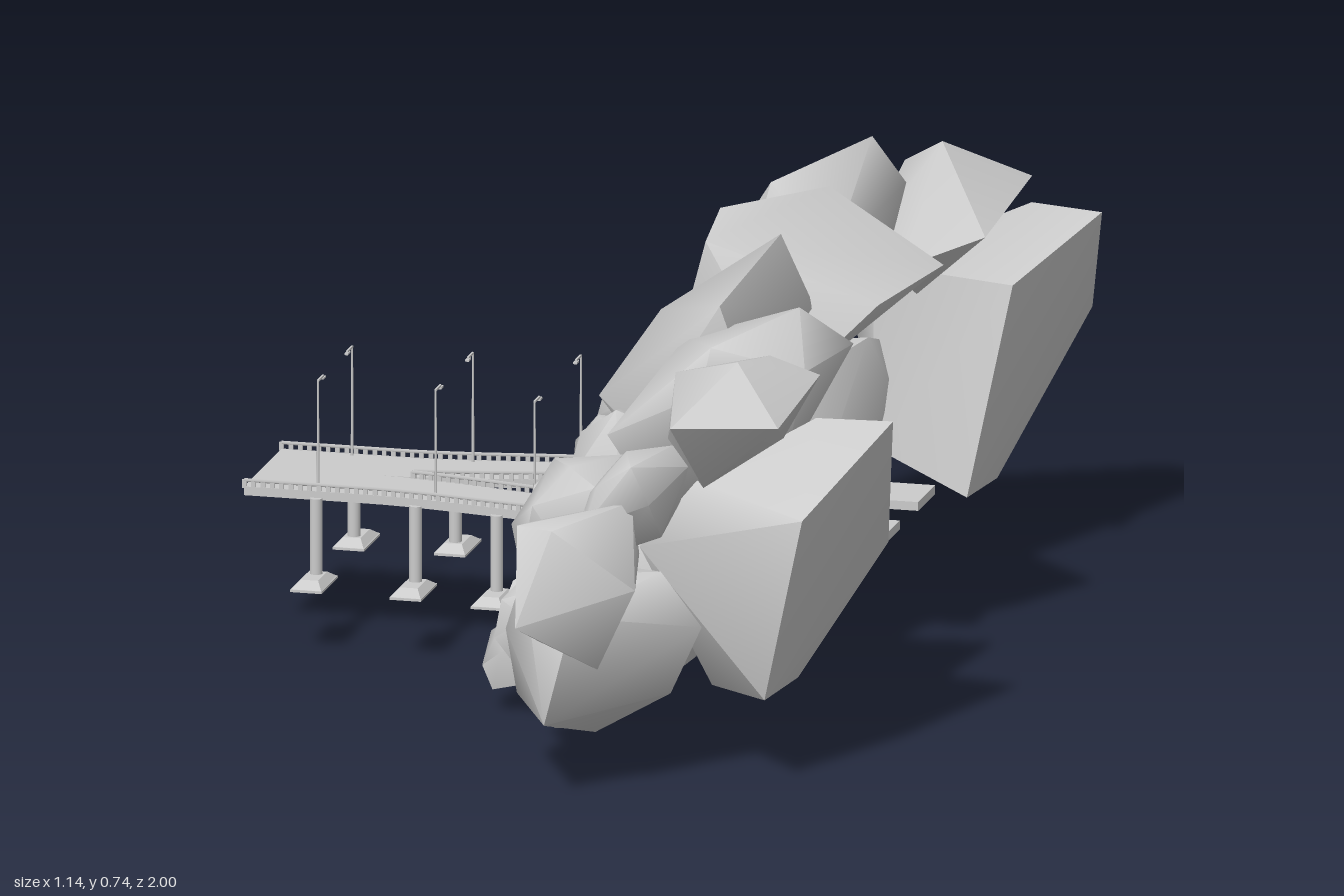
import * as THREE from 'three';
import { toCreasedNormals } from 'three/addons/utils/BufferGeometryUtils.js';
import { ConvexGeometry } from 'three/addons/geometries/ConvexGeometry.js';

const grey = new THREE.MeshStandardMaterial({ color: 0xcccccc });
const V = (x, y, z) => new THREE.Vector3(x, y, z);

function seeded(seed) {
  let s = seed * 7919 + 17;
  return () => (s = (s * 16807) % 2147483647) / 2147483647;
}

function add(parent, name, geometry, x = 0, y = 0, z = 0) {
  const mesh = new THREE.Mesh(geometry, grey);
  mesh.name = name;
  mesh.position.set(x, y, z);
  parent.add(mesh);
  return mesh;
}

const hull = (points) => toCreasedNormals(new ConvexGeometry(points), 1.05);

// Blocky, leaning boulder that exactly fills a box
function boulder(min, max, seed, lean) {
  const rnd = seeded(seed), pts = [], n = 17;
  for (let i = 0; i < 5; i++) rnd();
  const turn = rnd() * 6.28;
  const square = (v) => Math.sign(v) * Math.abs(v) ** 0.82;
  for (let i = 0; i < n; i++) {
    const y = 1 - (2 * i + 1) / n, r = Math.sqrt(1 - y * y);
    const a = i * 2.4 + turn + (rnd() - 0.5) * 0.5, k = 0.92 + rnd() * 0.25;
    const h = square(y) * k;
    pts.push(V(square(Math.cos(a) * r) * k + lean * h, h, square(Math.sin(a) * r) * k));
  }
  const box = new THREE.Box3().setFromPoints(pts), size = box.getSize(V(0, 0, 0));
  const target = max.clone().sub(min);
  pts.forEach((p) => p.sub(box.min).divide(size).multiply(target).add(min));
  return hull(pts);
}

// Two carriageways mirrored about z = MID, spreading apart towards the tunnel
const MID = -0.03, START = -0.57, END = 0.46;
const laneZ = (side, x) => MID + side * (0.058 + 0.05 * THREE.MathUtils.smoothstep(x, -0.38, 0));
const halfWidth = (x) => 0.058 - 0.006 * THREE.MathUtils.smoothstep(x, -0.38, -0.02);
const edgeZ = (side, edge, x) => laneZ(side, x) + side * edge * halfWidth(x);

function carriageway(side) {
  const near = [], far = [];
  for (let i = 0; i <= 28; i++) {
    const x = START + ((END - START) * i) / 28;
    near.push(new THREE.Vector2(x, -edgeZ(side, 1, x)));
    far.unshift(new THREE.Vector2(x, -edgeZ(side, -1, x)));
  }
  const geo = new THREE.ExtrudeGeometry(new THREE.Shape([...near, ...far]), { depth: 0.014, bevelEnabled: false });
  return geo.rotateX(-Math.PI / 2);
}

function railing(parent, side, edge, from, to) {
  const g = new THREE.Group();
  g.name = 'railing';
  parent.add(g);
  const pts = [], n = Math.round((to - from) / 0.015);
  for (let i = 0; i <= n; i++) {
    const x = from + ((to - from) * i) / n, z = edgeZ(side, edge * 0.97, x);
    pts.push(V(x, 0.253, z));
    add(g, 'railPost', new THREE.BoxGeometry(0.007, 0.014, 0.003), x, 0.247, z);
  }
  add(g, 'handRail', new THREE.TubeGeometry(new THREE.CatmullRomCurve3(pts), n * 2, 0.003, 4));
}

function pier(parent, x, side) {
  const g = new THREE.Group();
  g.name = 'pier';
  g.position.set(x, 0, edgeZ(side, 1, x));
  parent.add(g);
  add(g, 'column', new THREE.CylinderGeometry(0.01, 0.01, 0.125, 16), 0, 0.17);
  const foot = new THREE.CylinderGeometry(0.4, 0.707, 0.012, 4).rotateY(Math.PI / 4).scale(0.05, 1, 0.1);
  add(g, 'footing', toCreasedNormals(foot, 0.4), 0, 0.106, side * 0.014);
  add(g, 'footingBase', new THREE.BoxGeometry(0.05, 0.004, 0.1), 0, 0.099, side * 0.014);
}

function lamp(parent, x, side) {
  const g = new THREE.Group();
  g.name = 'streetLamp';
  g.position.set(x, 0.24, edgeZ(side, 0.8, x));
  parent.add(g);
  add(g, 'lampPost', new THREE.CylinderGeometry(0.0015, 0.0025, 0.178, 8), 0, 0.089);
  add(g, 'lampArm', new THREE.BoxGeometry(0.003, 0.003, 0.032), 0, 0.177, -side * 0.015);
  add(g, 'lampHead', new THREE.BoxGeometry(0.006, 0.003, 0.014), 0, 0.174, -side * 0.03);
}

// Tunnel front with two round-cornered openings
function portal() {
  const frame = new THREE.Shape([[-0.185, 0.236], [0.13, 0.236], [0.13, 0.36], [-0.185, 0.36]]
    .map(([z, y]) => new THREE.Vector2(z, y)));
  for (const side of [-1, 1]) {
    const c = laneZ(side, 0), w = 0.046, b = 0.244, t = 0.34, r = 0.025, h = new THREE.Path();
    h.moveTo(c - w, b).lineTo(c - w, t - r).quadraticCurveTo(c - w, t, c - w + r, t);
    h.lineTo(c + w - r, t).quadraticCurveTo(c + w, t, c + w, t - r).lineTo(c + w, b).lineTo(c - w, b);
    frame.holes.push(h);
  }
  return new THREE.ExtrudeGeometry(frame, { depth: 0.08, bevelEnabled: false }).rotateY(-Math.PI / 2);
}

// Big leaning rocks, each the hull of its few corners
function bigRocks(parent) {
  const rock = (name, ...corners) => add(parent, name, hull(corners.map((p) => V(...p))));
  rock('rearSlab', [0.5, 0.32, -1], [0.57, 0.53, -0.79], [0.49, 0.47, -0.55], [0.43, 0.14, -0.5],
    [0.39, 0.08, -0.84], [0.17, 0.38, -0.79], [0.25, 0.17, -0.85], [0.27, 0.2, -0.54],
    [0.25, 0.47, -0.62], [0.45, 0.53, -0.82]);
  rock('frontSlab', [0.5, 0.27, 0.25], [0.57, 0.53, 0.49], [0.49, 0.43, 0.74], [0.43, 0.14, 0.74],
    [0.39, 0.08, 0.38], [0.45, 0.53, 0.5], [0.3, 0.46, 0.66], [0.29, 0.22, 0.34],
    [0.21, 0.35, 0.66], [0.31, 0.12, 0.6]);
  rock('crownRock', [0.32, 0.74, -0.08], [0.18, 0.73, 0.05], [0.18, 0.7, 0.14], [0.51, 0.635, -0.05],
    [0.33, 0.61, -0.25], [0.32, 0.48, 0.18], [0.12, 0.5, 0.1], [0.11, 0.5, -0.15],
    [0.28, 0.46, -0.06], [0.44, 0.6, 0.08]);
  rock('rearArchRock', [0.3, 0.73, -0.42], [0.336, 0.64, -0.49], [0.18, 0.69, -0.26], [0.3, 0.6, -0.17],
    [0.34, 0.55, -0.35], [0.055, 0.5, -0.34], [0.135, 0.53, -0.45], [0.13, 0.47, -0.2],
    [0.2, 0.37, -0.15], [0.2, 0.36, -0.42], [0.08, 0.4, -0.32]);
  rock('frontArchRock', [0.3, 0.72, 0.14], [0.27, 0.67, 0.4], [0.345, 0.6, 0.11], [0.31, 0.55, 0.39],
    [0.14, 0.62, 0.26], [0.045, 0.48, 0.275], [0.11, 0.5, 0.15], [0.13, 0.45, 0.37],
    [0.2, 0.32, 0.18], [0.18, 0.36, 0.36]);
  rock('frontUpperRock', [0.46, 0.6, 0.31], [0.4, 0.68, 0.41], [0.44, 0.61, 0.53], [0.3, 0.65, 0.57],
    [0.29, 0.58, 0.6], [0.135, 0.5, 0.57], [0.13, 0.48, 0.35], [0.2, 0.6, 0.34],
    [0.4, 0.45, 0.5], [0.2, 0.36, 0.5], [0.25, 0.34, 0.35]);
  rock('frontTopRock', [0.39, 0.68, 0.75], [0.4, 0.65, 0.59], [0.485, 0.63, 0.61], [0.475, 0.6, 0.83],
    [0.45, 0.55, 0.7], [0.33, 0.47, 0.73], [0.25, 0.52, 0.64], [0.265, 0.63, 0.65], [0.295, 0.58, 0.8],
    [0.35, 0.56, 0.57]);
  rock('frontTipRock', [0.1, 0.3, 1], [0.08, 0.44, 0.91], [0.06, 0.31, 0.79], [0.235, 0.46, 0.8],
    [0.26, 0.34, 0.88], [0.2, 0.21, 0.88], [0.14, 0.44, 0.93], [0.07, 0.4, 0.72],
    [0.22, 0.35, 0.7], [0.1, 0.22, 0.8]);
  rock('frontFootRock', [0.15, 0.06, 0.7], [0.03, 0.12, 0.72], [0.02, 0.23, 0.75], [0.06, 0.33, 0.8],
    [0.27, 0.13, 0.7], [0.33, 0.25, 0.74], [0.27, 0.34, 0.76], [0.12, 0.12, 0.9],
    [0.16, 0.29, 0.88], [0.1, 0.3, 0.58], [0.24, 0.28, 0.6], [0.1, 0.1, 0.6]);
  rock('rearTopRock', [0.37, 0.685, -0.58], [0.495, 0.62, -0.65], [0.48, 0.58, -0.42], [0.37, 0.63, -0.7],
    [0.256, 0.55, -0.645], [0.345, 0.52, -0.43], [0.26, 0.53, -0.5], [0.35, 0.46, -0.65],
    [0.35, 0.46, -0.5], [0.3, 0.64, -0.62]);
  rock('rearSpur', [0.135, 0.38, -0.835], [0.2, 0.5, -0.74], [0.045, 0.35, -0.61], [0.07, 0.4, -0.5],
    [0.16, 0.5, -0.5], [0.1, 0.22, -0.6], [0.15, 0.25, -0.78], [0.1, 0.5, -0.62], [0.2, 0.3, -0.55]);
}

// Boulder extents: x min, x max, y min, y max, z min, z max
const boulders = [
  [0.14, 0.3, 0.36, 0.52, 0.63, 0.82], [0.02, 0.21, 0.28, 0.48, 0.54, 0.78],
  [0.1, 0.26, 0.36, 0.59, -0.66, -0.42], [0.01, 0.17, 0.28, 0.5, 0.26, 0.48],
  [0.04, 0.17, 0.37, 0.55, -0.18, -0.04], [0.03, 0.16, 0.37, 0.53, -0.02, 0.13],
  [0.03, 0.3, 0.03, 0.38, -0.7, -0.4], [0.02, 0.22, 0, 0.3, -0.45, -0.21],
  [0.02, 0.3, 0.07, 0.4, 0.36, 0.64], [0.02, 0.24, 0.06, 0.34, 0.15, 0.42],
  [0.02, 0.22, 0.22, 0.46, -0.47, -0.21], [-0.02, 0.1, 0.13, 0.25, -0.07, 0.04],
];
// Rubble along the bridge side: x, y, z, radius
const rubble = [
  [-0.05, 0.13, -0.63, 0.06], [-0.03, 0.17, -0.55, 0.068], [-0.04, 0.1, -0.47, 0.06],
  [-0.03, 0.13, -0.36, 0.068], [-0.05, 0.1, -0.27, 0.058], [0.0, 0.26, -0.46, 0.06],
  [0.02, 0.3, -0.36, 0.065], [0.0, 0.22, -0.26, 0.06], [0.03, 0.35, -0.24, 0.05],
  [0.03, 0.4, -0.14, 0.045], [0.04, 0.41, -0.05, 0.045], [0.03, 0.4, 0.05, 0.045],
  [0.03, 0.36, 0.18, 0.052], [-0.02, 0.2, 0.19, 0.055], [-0.05, 0.11, 0.2, 0.058],
  [-0.04, 0.13, 0.29, 0.068], [-0.05, 0.09, 0.37, 0.058], [-0.01, 0.16, 0.41, 0.065],
  [0.01, 0.28, 0.24, 0.055], [0.05, 0.22, 0.5, 0.075], [0.07, 0.08, 0.33, 0.06],
  [0.08, 0.09, 0.53, 0.065], [0.05, 0.35, 0.5, 0.065], [0.07, 0.4, -0.52, 0.065],
];

export function createModel() {
  const model = new THREE.Group();
  model.name = 'rockTunnelAndBridge';

  const bridge = new THREE.Group();
  bridge.name = 'bridge';
  model.add(bridge);
  for (const side of [-1, 1]) {
    add(bridge, 'carriageway', carriageway(side), 0, 0.229, 0);
    railing(bridge, side, 1, START, -0.02);
    railing(bridge, side, -1, -0.33, -0.02);
    for (const x of [-0.455, -0.295, -0.16]) pier(bridge, x, side);
    for (const x of [-0.455, -0.265, -0.1]) lamp(bridge, x, side);
  }
  add(bridge, 'tunnelPortal', portal(), 0.065, 0, 0);

  const rocks = new THREE.Group();
  rocks.name = 'rocks';
  model.add(rocks);
  bigRocks(rocks);
  boulders.forEach(([x0, x1, y0, y1, z0, z1], i) =>
    add(rocks, 'boulder', boulder(V(x0, y0, z0), V(x1, y1, z1), i + 20, 0.35)));
  rubble.forEach(([x, y, z, r], i) => {
    const c = V(x, y, z), s = V(r, r * 1.1, r);
    add(rocks, 'rubbleStone', boulder(c.clone().sub(s), c.clone().add(s), i + 50, 0.2));
  });
  return model;
}
